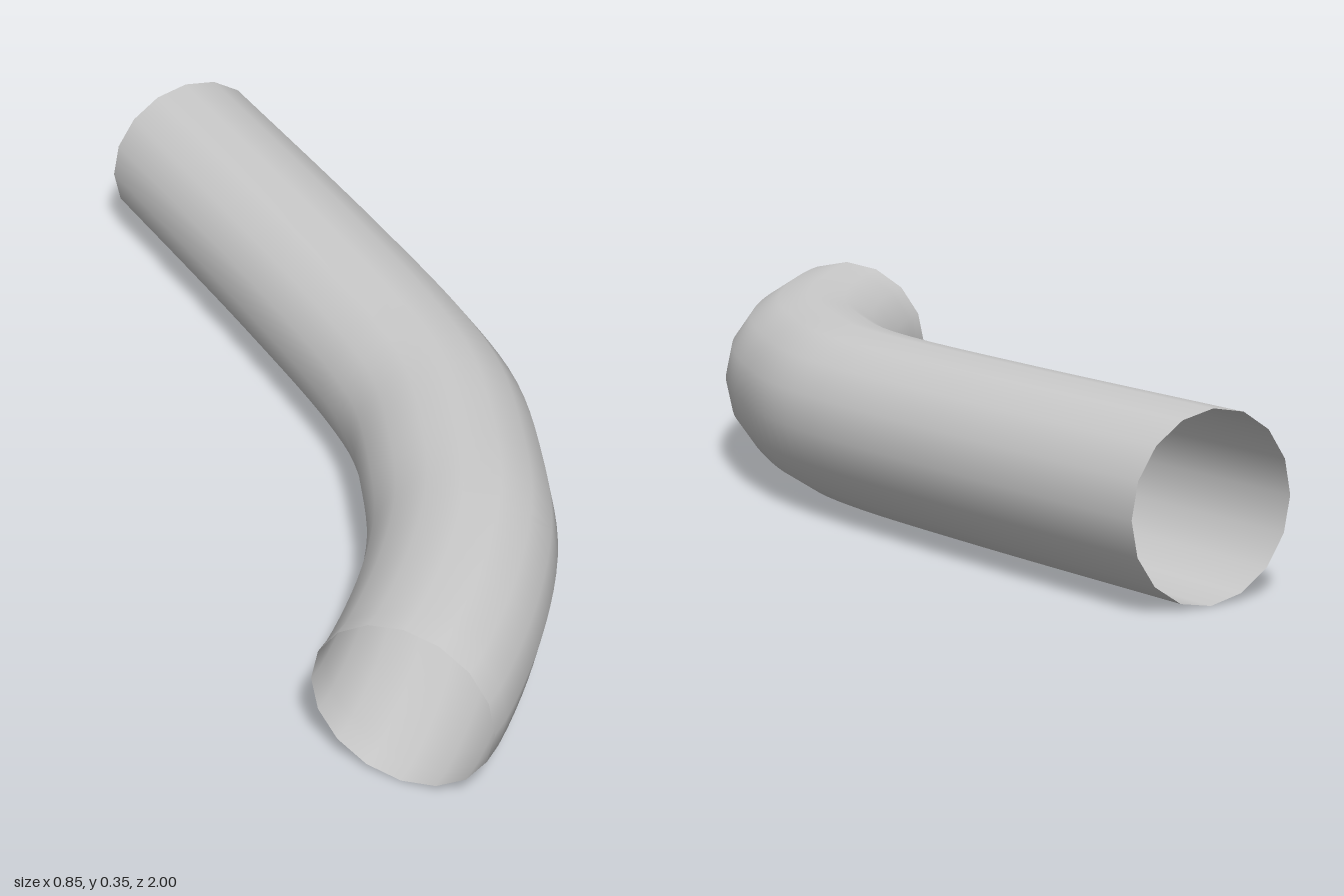
import * as THREE from 'three';

const RADIUS = 0.18;
const HALF_HEIGHT = 0.174;

// Centre line of the bent pipe, as [x, z] in the horizontal plane
const PATH = [
  [0.245, -1], [0.244, -0.95], [0.23, -0.4], [0.207, -0.02], [0.177, 0.146],
  [0.107, 0.323], [0.015, 0.5], [-0.127, 0.673], [-0.288, 0.82], [-0.33, 0.848],
];

export function createModel() {
  const group = new THREE.Group();
  group.name = 'bentPipe';

  // Open, thin-walled sixteen-sided pipe, very slightly flattened
  const curve = new THREE.CatmullRomCurve3(PATH.map(([x, z]) => new THREE.Vector3(x, 0, z)));
  const geometry = new THREE.TubeGeometry(curve, 48, RADIUS, 16, false);
  geometry.scale(1, HALF_HEIGHT / RADIUS, 1);
  geometry.translate(0, HALF_HEIGHT, 0);

  const pipe = new THREE.Mesh(
    geometry,
    new THREE.MeshStandardMaterial({ color: 0xcccccc, side: THREE.DoubleSide }),
  );
  pipe.name = 'pipe';
  group.add(pipe);
  return group;
}
